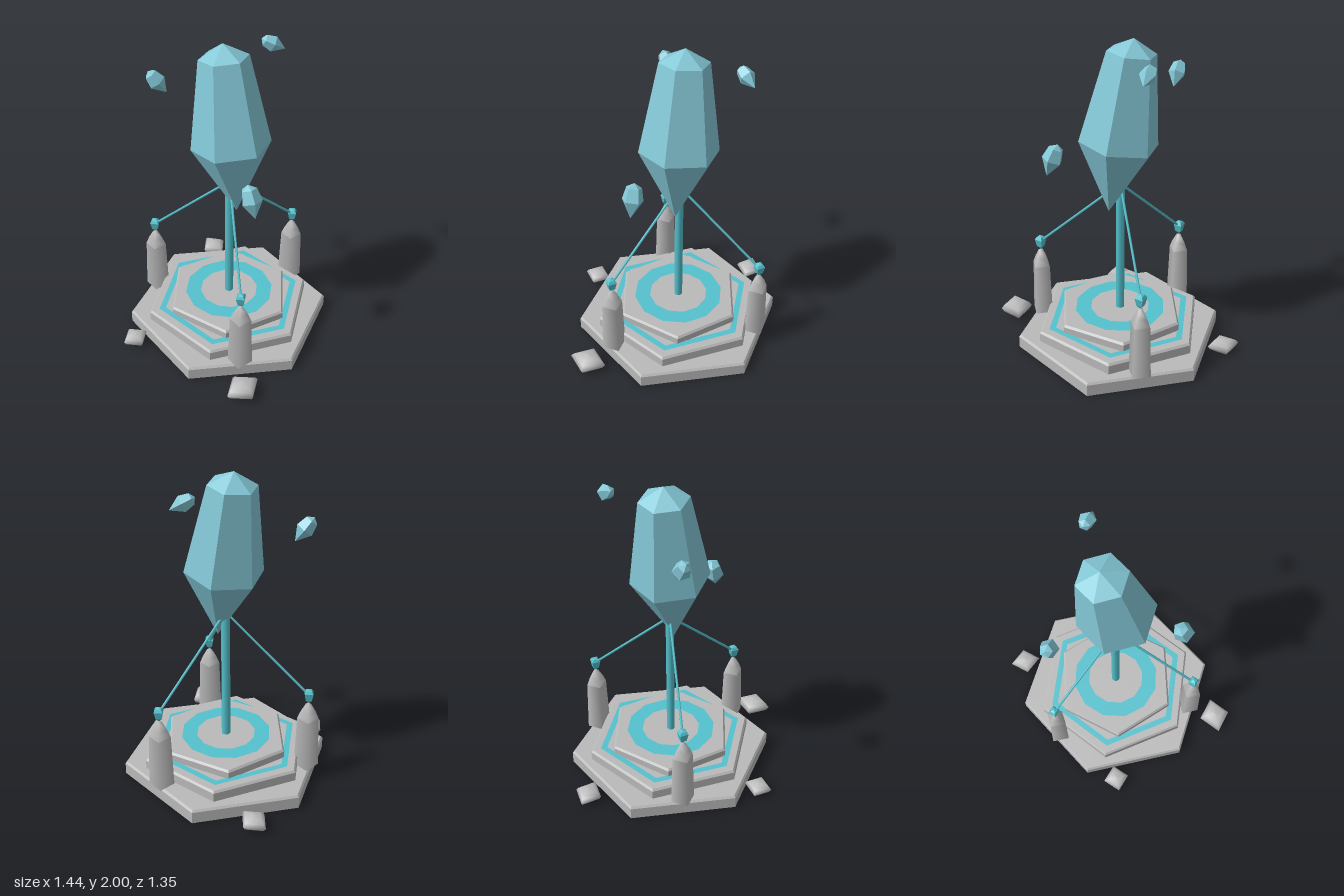
import * as THREE from 'three';

const CX = -0.017, CZ = -0.088; // centre of the platform
const rad = THREE.MathUtils.degToRad;

const stone = new THREE.MeshStandardMaterial({ color: 0xbababa });
stone.name = 'stone grey';
const crystal = new THREE.MeshStandardMaterial({ color: 0x84c8d7 });
crystal.name = 'crystal blue';
const glow = new THREE.MeshStandardMaterial({ color: 0x54c1cd });
glow.name = 'energy cyan';

// Faceted solid from a profile [radius, y] running upwards; phi is the angle of the first corner
function turned(name, material, profile, sides, phi = 90, smooth = false) {
  const pts = profile.map(([r, y]) => new THREE.Vector2(r, y));
  let geo = new THREE.LatheGeometry(pts, sides, rad(phi));
  if (!smooth) {
    geo = geo.toNonIndexed();
    geo.computeVertexNormals();
  }
  const mesh = new THREE.Mesh(geo, material);
  mesh.name = name;
  return mesh;
}

// Thin round bar between two points
function bar(name, from, to, radius, sides) {
  const mesh = new THREE.Mesh(new THREE.CylinderGeometry(radius, radius, from.distanceTo(to), sides), glow);
  mesh.position.copy(from).add(to).multiplyScalar(0.5);
  mesh.quaternion.setFromUnitVectors(new THREE.Vector3(0, 1, 0), to.clone().sub(from).normalize());
  mesh.name = name;
  return mesh;
}

// Flat polygonal band lying on a step
function band(name, inner, outer, sides, turn, y) {
  const geo = new THREE.RingGeometry(inner, outer, sides, 1, rad(turn));
  geo.rotateX(-Math.PI / 2);
  const mesh = new THREE.Mesh(geo, glow);
  mesh.position.set(CX, y, CZ);
  mesh.name = name;
  return mesh;
}

export function createModel() {
  const model = new THREE.Group();
  model.name = 'crystalShrine';

  // Three hexagonal steps, each twisted a little further
  const bevel = 0.013;
  [[0.663, 0, 0.09], [0.548, 0.09, 0.162], [0.417, 0.162, 0.22]].forEach(([r, y0, y1], i) => {
    const step = turned('step' + (i + 1), stone,
      [[0, y0], [r, y0], [r, y1 - bevel], [r - bevel, y1], [0, y1]], 6, 90 + i * 10);
    step.position.set(CX, 0, CZ);
    model.add(step);
  });
  model.add(band('hexagonBand', 0.44, 0.483, 6, 10, 0.166));
  model.add(band('innerBand', 0.19, 0.29, 12, 0, 0.224));

  // Central energy column
  model.add(bar('energyColumn', new THREE.Vector3(CX, 0.22, CZ), new THREE.Vector3(CX, 1.2, CZ), 0.028, 8));

  // Pillars with a gem on top and a beam to the main crystal
  const hub = new THREE.Vector3(CX, 1.1, CZ);
  const k = Math.SQRT2;
  for (const angle of [60, 180, 300]) {
    const x = CX + 0.537 * Math.sin(rad(angle)), z = CZ + 0.537 * Math.cos(rad(angle));
    const pillar = new THREE.Group();
    pillar.name = 'pillar';
    pillar.add(
      turned('pillarShaft', stone, [[0.055 * k, 0.09], [0.047 * k, 0.44]], 4, 45, true),
      turned('pillarTip', stone, [[0.047 * k, 0.44], [0.033 * k, 0.49], [0.012 * k, 0.545], [0, 0.55]], 4, 45, true),
      turned('pillarGem', glow, [[0, 0.552], [0.026, 0.575], [0.038, 0.625], [0.024, 0.642], [0, 0.65]], 4, 0)
    );
    pillar.position.set(x, 0, z);
    model.add(pillar, bar('energyBeam', new THREE.Vector3(x, 0.61, z), hub, 0.008, 6));
  }

  // Main leaning crystal, built from its lower tip
  const main = turned('mainCrystal', crystal, [[0, 0], [0.245, 0.451], [0.15, 1.007], [0, 1.09]], 6);
  main.position.set(0.055, 0.92, CZ);
  main.rotation.z = 0.136;
  model.add(main);

  // Floating shards: tip, blunt end, radius
  const shards = [
    [[-0.39, 1.62, 0.105], [-0.455, 1.76, 0.19], 0.055],
    [[0.41, 1.13, 0.055], [0.335, 1.33, 0.055], 0.066],
    [[-0.04, 1.862, -0.512], [-0.12, 1.93, -0.395], 0.05]
  ];
  for (const [tip, end, r] of shards) {
    const a = new THREE.Vector3(...tip), axis = new THREE.Vector3(...end).sub(a);
    const len = axis.length();
    const shard = turned('floatingShard', crystal,
      [[0, 0], [r, len * 0.5], [r * 0.72, len * 0.87], [0, len]], 5, 0);
    shard.position.copy(a);
    shard.quaternion.setFromUnitVectors(new THREE.Vector3(0, 1, 0), axis.normalize());
    model.add(shard);
  }

  // Loose rocks around the platform: x, z, half width, height, half depth
  for (const [x, z, w, h, d] of [
    [-0.62, -0.41, 0.102, 0.092, 0.088],
    [0.617, 0.29, 0.102, 0.113, 0.12],
    [-0.163, 0.577, 0.085, 0.088, 0.088]
  ]) {
    const rock = turned('rock', stone,
      [[0, 0.02], [0.55, 0.04], [0.85, 0.25], [1, 0.5], [0.82, 0.72], [0.6, 0.86], [0.2, 0.97], [0, 1]], 4, 0, true);
    rock.scale.set(w, h, d);
    rock.position.set(x, 0, z);
    model.add(rock);
  }
  return model;
}
